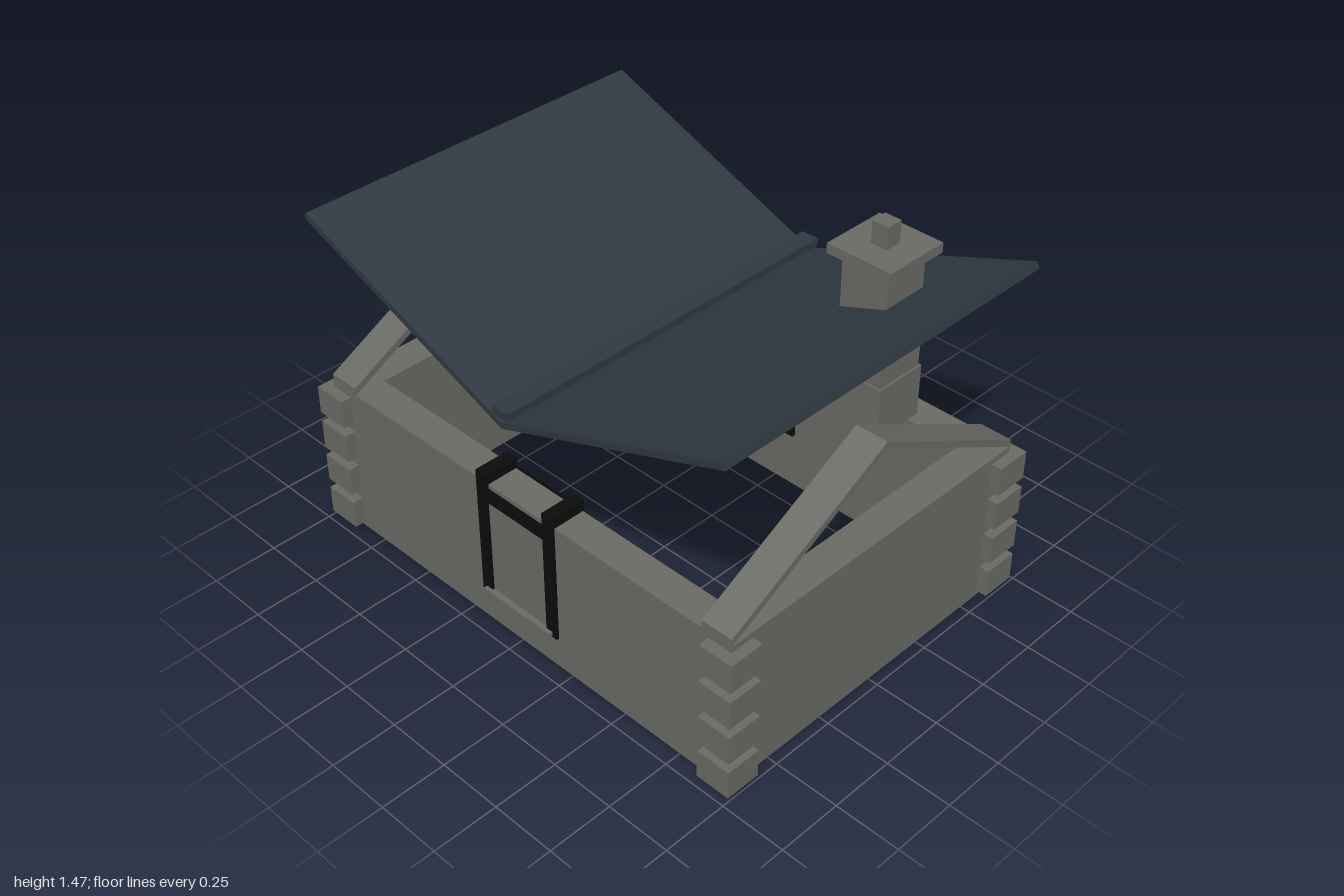
import * as THREE from 'three';

const mat = (name, color) => {
  const m = new THREE.MeshStandardMaterial({ color });
  m.name = name;
  return m;
};

export function createModel() {
  const stone = mat('greyWood', 0x696a64);
  const slate = mat('slateRoof', 0x2f3840);
  const black = mat('blackTrim', 0x0b0b0b);
  const model = new THREE.Group();

  const add = (name, geometry, material, parent = model) => {
    const mesh = new THREE.Mesh(geometry, material);
    mesh.name = name;
    parent.add(mesh);
    return mesh;
  };
  const group = (name) => {
    const g = new THREE.Group();
    g.name = name;
    model.add(g);
    return g;
  };
  // box given by its limits on each axis
  const box = (name, [x0, x1], [y0, y1], [z0, z1], material, parent) => {
    const mesh = add(name, new THREE.BoxGeometry(x1 - x0, y1 - y0, z1 - z0), material, parent);
    mesh.position.set((x0 + x1) / 2, (y0 + y1) / 2, (z0 + z1) / 2);
    return mesh;
  };
  const rect = (Type, x, y) =>
    new Type([[-x, -y], [x, -y], [x, y], [-x, y]].map((p) => new THREE.Vector2(...p)));
  const extrude = (shape, depth) => new THREE.ExtrudeGeometry(shape, { depth, bevelEnabled: false });
  const polygon = (pts) => new THREE.Shape(pts.map((p) => new THREE.Vector2(...p)));

  // hollow wall ring, thinner at the plinth
  const W = 0.96, D = 0.685;
  const ring = (name, y0, y1, t) => {
    const shape = rect(THREE.Shape, W, D);
    shape.holes.push(rect(THREE.Path, W - t, D - t));
    const geo = extrude(shape, y1 - y0).rotateX(-Math.PI / 2).translate(0, y0, 0);
    add(name, geo, stone);
  };
  ring('plinth', 0, 0.1, 0.085);
  ring('walls', 0.1, 0.605, 0.125);

  // crossed log ends at the corners
  const logs = group('cornerLogs');
  for (const sx of [-1, 1]) for (const sz of [-1, 1]) for (let i = 0; i < 4; i++) {
    const log = add('logEnd', new THREE.BoxGeometry(0.135, 0.112, 0.138), stone, logs);
    log.position.set(sx * 0.9325, 0.073 + i * 0.151, sz * 0.659);
  }

  // gable rafters on both ends
  const gable = polygon([[-D, 0.605], [0, 0.972], [D, 0.605], [D, 0.635], [0, 1], [-D, 0.635]]);
  for (const [name, x] of [['rightGable', -W], ['leftGable', W - 0.125]]) {
    add(name, extrude(gable, 0.125).rotateY(Math.PI / 2).translate(x, 0, 0), stone);
  }

  // roof: two slabs rising outward, with a strip over the middle
  const slab = [[0, 0.928], [0.955, 1.292], [0.946, 1.316], [0, 0.953]];
  for (const s of [-1, 1]) {
    const geo = extrude(polygon(slab.map(([x, y]) => [s * x, y])), 1.455).translate(0, 0, -0.73);
    add(s > 0 ? 'leftRoofSlab' : 'rightRoofSlab', geo, slate);
  }
  box('ridgeStrip', [-0.036, 0.036], [0.975, 1.003], [-0.735, 0.73], slate);

  // stepped chimney with a cap above it
  const chimney = group('chimney');
  const tiers = [
    ['base', 0.212, 0.715, 0.915], ['middle', 0.198, 0.915, 1.125], ['top', 0.186, 1.125, 1.33],
    ['cap', 0.26, 1.35, 1.387], ['capPost', 0.065, 1.387, 1.47],
  ];
  for (const [name, w, y0, y1] of tiers) {
    box(name, [0.6 - w / 2, 0.6 + w / 2], [y0, y1], [-0.384 - w / 2, -0.384 + w / 2], stone, chimney);
  }

  // door frame set through the front wall
  const door = group('door');
  for (const s of [-1, 1]) {
    box('doorPost', [s * 0.16 - 0.025, s * 0.16 + 0.025], [0.127, 0.646], [0.555, 0.695], black, door);
  }
  box('frontLintel', [-0.135, 0.135], [0.53, 0.588], [0.684, 0.691], black, door);
  box('innerLintel', [-0.135, 0.135], [0.53, 0.615], [0.556, 0.563], black, door);
  box('doorLeaf', [-0.135, 0.135], [0.15, 0.53], [0.682, 0.688], stone, door);
  box('sill', [-0.165, 0.165], [0.135, 0.15], [0.68, 0.71], stone, door);

  // slim post on the inside of the back wall
  box('innerPost', [0.08, 0.12], [0.27, 0.6], [-0.562, -0.545], black);

  return model;
}
